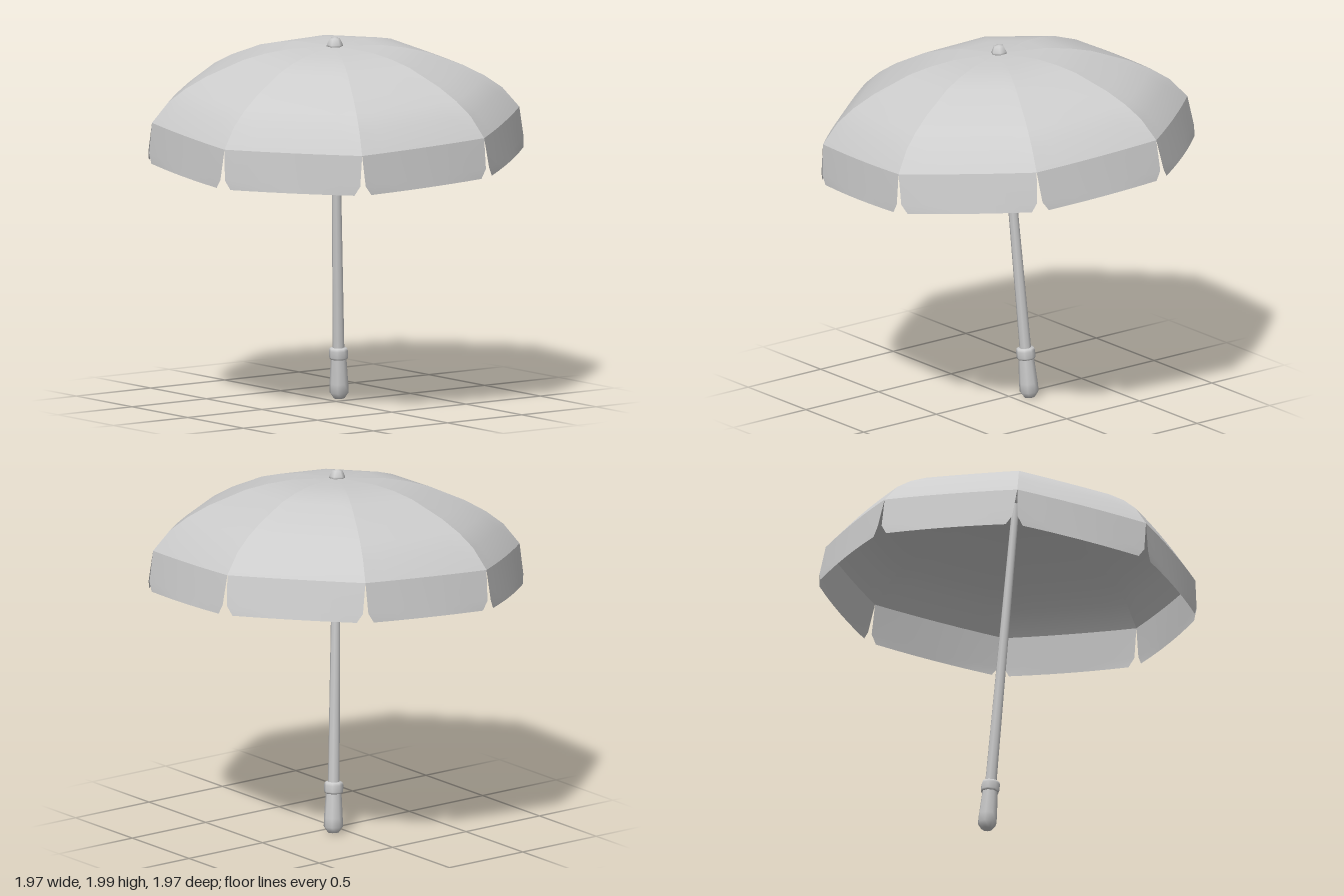
import * as THREE from 'three';

const GORES = 8;
const HALF = Math.PI / GORES;

// One cloth strip of a gore. Each row is [rib radius, height, side inset, outward bulge].
function clothStrip(rows, columns) {
  const positions = [], uvs = [], index = [];
  rows.forEach(([r, y, inset, bulge], i) => {
    for (let j = 0; j <= columns; j++) {
      const u = (j / columns) * 2 - 1;
      positions.push(r * Math.cos(HALF) + bulge * (1 - u * u), y, u * (r * Math.sin(HALF) - inset));
      uvs.push(j / columns, i / (rows.length - 1));
      if (i < rows.length - 1 && j < columns) {
        const a = i * (columns + 1) + j, b = a + columns + 1;
        index.push(a, a + 1, b, a + 1, b + 1, b);
      }
    }
  });
  const geo = new THREE.BufferGeometry();
  geo.setAttribute('position', new THREE.Float32BufferAttribute(positions, 3));
  geo.setAttribute('uv', new THREE.Float32BufferAttribute(uvs, 2));
  geo.setIndex(index);
  geo.computeVertexNormals();
  return geo;
}

function lathe(name, profile, sides, material) {
  const points = profile.map(([r, y]) => new THREE.Vector2(r, y));
  const mesh = new THREE.Mesh(new THREE.LatheGeometry(points, sides), material);
  mesh.name = name;
  return mesh;
}

export function createModel() {
  const grey = new THREE.MeshStandardMaterial({ color: 0xcccccc, side: THREE.DoubleSide });
  grey.name = 'plain grey';

  const parasol = new THREE.Group();
  parasol.name = 'parasol';

  // Canopy: eight gores, each with a flared hanging flap separated by slits
  const panelGeo = clothStrip([
    [0.012, 1.956, 0, 0], [0.25, 1.95, 0, 0], [0.38, 1.93, 0, 0], [0.5, 1.9, 0, 0],
    [0.7, 1.818, 0, 0.004], [0.815, 1.755, 0, 0.008], [0.91, 1.685, 0, 0.01], [1.0, 1.575, 0, 0.012],
  ], 6);
  const flapGeo = clothStrip([
    [1.0, 1.575, 0, 0.012], [1.026, 1.41, 0.016, 0.012], [1.032, 1.36, 0.05, 0.014],
  ], 6);
  const canopy = new THREE.Group();
  canopy.name = 'canopy';
  for (let k = 0; k < GORES; k++) {
    const gore = new THREE.Group();
    gore.name = 'gore';
    const panel = new THREE.Mesh(panelGeo, grey);
    panel.name = 'canopyPanel';
    const flap = new THREE.Mesh(flapGeo, grey);
    flap.name = 'canopyFlap';
    gore.add(panel, flap);
    gore.rotation.y = -THREE.MathUtils.degToRad(6.2 + 45 * k);
    canopy.add(gore);
  }

  // Pole, grip, collar and finial share one axis
  parasol.add(
    canopy,
    lathe('pole', [[0.032, 0.25], [0.02, 1.95]], 8, grey),
    lathe('grip', [[0, 0.005], [0.03, 0.008], [0.052, 0.04], [0.051, 0.09], [0.042, 0.24]], 8, grey),
    lathe('collar', [[0.035, 0.225], [0.048, 0.225], [0.052, 0.235], [0.052, 0.27],
      [0.047, 0.285], [0.028, 0.288]], 8, grey),
    lathe('finial', [[0.02, 1.925], [0.045, 1.952], [0.043, 1.965], [0.028, 1.997], [0, 2.002]], 6, grey),
  );

  // Lean the whole parasol along its axis
  const axis = new THREE.Vector3(-0.06, 1, 0.06).normalize();
  parasol.quaternion.setFromUnitVectors(new THREE.Vector3(0, 1, 0), axis);
  parasol.position.set(0.08, 0, -0.08);

  const model = new THREE.Group();
  model.name = 'leaningParasol';
  model.add(parasol);
  return model;
}
